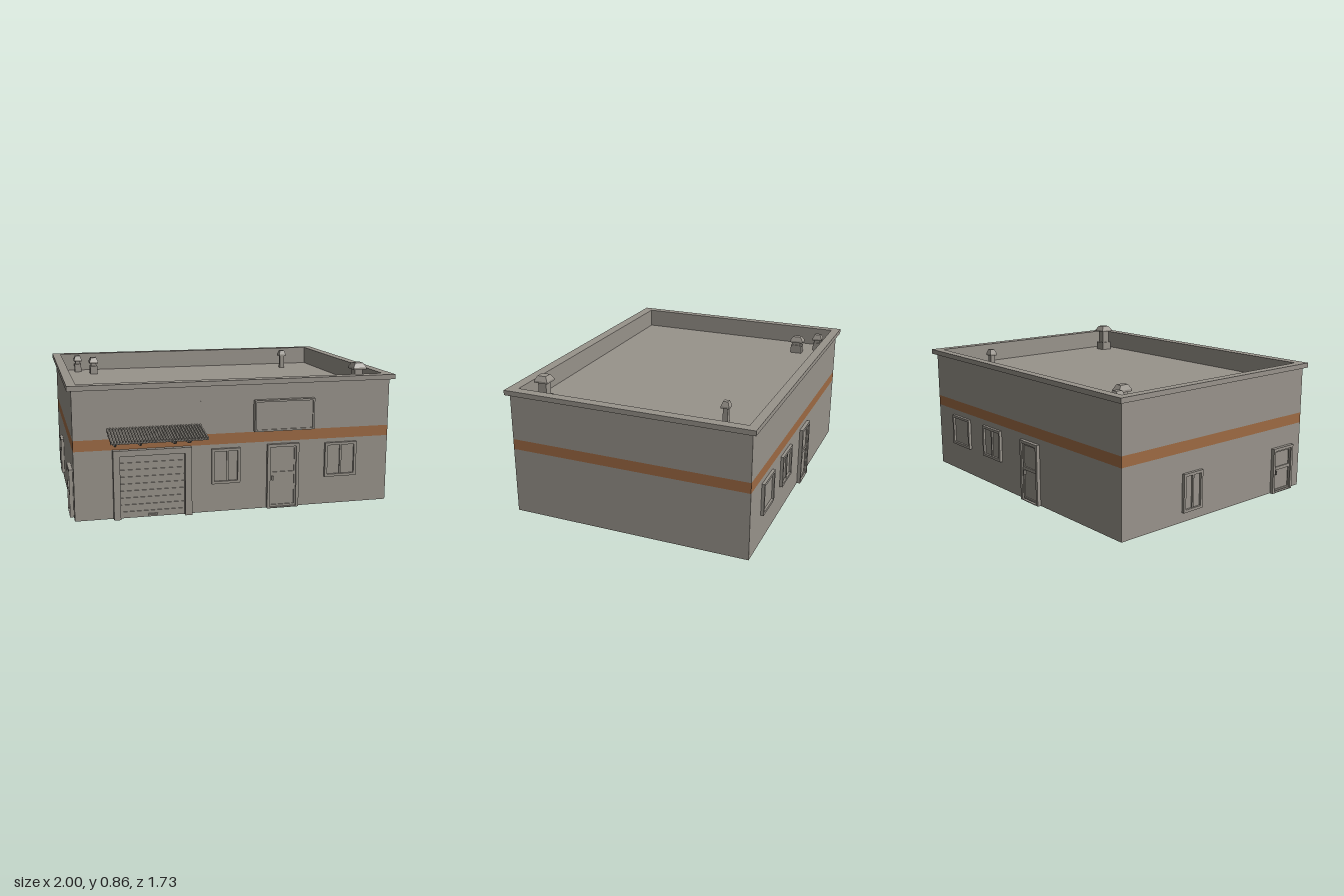
import * as THREE from 'three';

const concrete = new THREE.MeshStandardMaterial({ color: 0x98938b });
concrete.name = 'grey concrete';
const orange = new THREE.MeshStandardMaterial({ color: 0x9d6a43 });
orange.name = 'orange band';

// Outer faces of the walls
const X0 = -0.975, X1 = 0.97, Z0 = -0.84, Z1 = 0.655;

function add(parent, name, geometry, material = concrete) {
  const mesh = new THREE.Mesh(geometry, material);
  mesh.name = name;
  parent.add(mesh);
  return mesh;
}

// Box given by its two corners
function box(parent, name, x0, x1, y0, y1, z0, z1, material) {
  const g = new THREE.BoxGeometry(x1 - x0, y1 - y0, z1 - z0);
  g.translate((x0 + x1) / 2, (y0 + y1) / 2, (z0 + z1) / 2);
  return add(parent, name, g, material);
}

function rectangle(Type, x0, x1, y0, y1) {
  return new Type().moveTo(x0, y0).lineTo(x1, y0).lineTo(x1, y1).lineTo(x0, y1).closePath();
}

function rectShape(x0, x1, y0, y1) {
  const s = new THREE.Shape();
  s.setFromPoints([[x0, y0], [x1, y0], [x1, y1], [x0, y1]].map(p => new THREE.Vector2(...p)));
  return s;
}

// Flat rectangular frame: outer and inner are [x0, x1, y0, y1]
function frameGeometry(outer, inner, depth) {
  const s = rectShape(...outer);
  s.holes.push(rectShape(...inner));
  return new THREE.ExtrudeGeometry(s, { depth, bevelEnabled: false });
}

// Horizontal ring between two heights, around the sunken roof
function roofRing(parent, name, x0, x1, z0, z1, y0, y1) {
  const g = frameGeometry([x0, x1, -z1, -z0], [-0.945, 0.94, -0.61, 0.81], y1 - y0);
  g.rotateX(-Math.PI / 2).translate(0, y0, 0);
  return add(parent, name, g);
}

// Window centred on its own x = 0, facing +z
function windowUnit(name, w, y0, y1, mullion = 0) {
  const g = new THREE.Group(), h = w / 2, t = 0.016;
  g.name = name;
  add(g, 'windowFrame', frameGeometry([-h, h, y0, y1], [-h + t, h - t, y0 + t, y1 - t], 0.018));
  box(g, 'windowPane', -h + t, h - t, y0 + t, y1 - t, 0, 0.005);
  if (mullion !== null) box(g, 'mullion', mullion - 0.006, mullion + 0.006, y0 + t, y1 - t, 0, 0.014);
  return g;
}

// Door with two sunken panels and a handle
function doorUnit(name, w, top) {
  const g = new THREE.Group(), h = w / 2, t = 0.018;
  g.name = name;
  add(g, 'doorFrame', frameGeometry([-h, h, 0, top], [-h + t, h - t, 0.005, top - t], 0.022));
  box(g, 'doorLeaf', -h + t, h - t, 0.005, top - t, 0, 0.006);
  const a = h - t, mid = top * 0.54;
  for (const [y0, y1] of [[0.01, mid], [mid, top - t]]) {
    add(g, 'doorPanelFrame', frameGeometry([-a, a, y0, y1], [-a + 0.01, a - 0.01, y0 + 0.01, y1 - 0.01], 0.013));
  }
  box(g, 'doorHandle', -a + 0.012, -a + 0.02, mid - 0.04, mid - 0.015, 0, 0.02);
  return g;
}

// Square roof vent: optional plinth, shaft, flared hood
function vent(name, x, z, w, d, top, plinth) {
  const g = new THREE.Group(), y = 0.68, hood = 0.04;
  g.name = name;
  g.position.set(x, 0, z);
  if (plinth) box(g, 'ventPlinth', -w * 0.42, w * 0.42, y, y + 0.055, -d * 0.42, d * 0.42);
  box(g, 'ventShaft', -w * 0.3, w * 0.3, y, top - hood, -d * 0.3, d * 0.3);
  box(g, 'ventEaves', -w / 2, w / 2, top - hood, top - hood + 0.012, -d / 2, d / 2);
  const cap = new THREE.CylinderGeometry(0.3 * Math.SQRT2, 0.5 * Math.SQRT2, hood - 0.012, 4, 1).toNonIndexed();
  cap.rotateY(Math.PI / 4).scale(w, 1, d).translate(0, top - (hood - 0.012) / 2, 0);
  cap.computeVertexNormals();
  add(g, 'ventHood', cap);
  return g;
}

// Sectional garage door with protruding frame
function garage() {
  const g = new THREE.Group();
  g.name = 'garageDoor';
  const z = Z1;
  box(g, 'leftPost', -0.325, -0.285, 0, 0.415, z, 0.69);
  box(g, 'rightPost', -0.75, -0.71, 0, 0.415, z, 0.69);
  box(g, 'lintel', -0.71, -0.325, 0.38, 0.415, z, 0.69);
  const n = 9, step = 0.38 / n;
  box(g, 'doorBacking', -0.71, -0.325, 0, 0.38, z, z + 0.004);
  for (let i = 0; i < n; i++) {
    box(g, 'doorSlat', -0.708, -0.327, i * step + 0.002, (i + 1) * step - 0.002, z, z + 0.01);
  }
  box(g, 'garageHandle', -0.545, -0.49, 0.012, 0.022, z, z + 0.02);
  return g;
}

// Sloping ribbed canopy on curved brackets
function canopy() {
  const g = new THREE.Group();
  g.name = 'canopy';
  const roof = new THREE.Group();
  roof.name = 'canopyRoof';
  roof.position.set(-0.5025, 0.535, Z1);
  roof.rotation.x = 0.165;
  const half = 0.2775, len = 0.212, n = 34;
  box(roof, 'canopySheet', -half, half, -0.006, 0, 0, len);
  for (let i = 0; i < n; i++) {
    const x = -half + 0.004 + (i / (n - 1)) * (2 * half - 0.008);
    box(roof, 'canopyRib', x - 0.004, x + 0.004, 0, 0.011, 0, len);
  }
  for (const z of [0.06, 0.17]) box(roof, 'canopyRail', -half, half, -0.014, -0.006, z, z + 0.012);
  g.add(roof);
  for (const x of [-0.745, -0.6, -0.4, -0.315]) {
    const curve = new THREE.CatmullRomCurve3([
      [x, 0.452, Z1], [x, 0.456, 0.72], [x, 0.47, 0.79], [x, 0.502, 0.828],
    ].map(p => new THREE.Vector3(...p)));
    add(g, 'canopyBracket', new THREE.TubeGeometry(curve, 10, 0.005, 6));
    box(g, 'bracketUpright', x - 0.005, x + 0.005, 0.445, 0.535, Z1, Z1 + 0.01);
  }
  return g;
}

export function createModel() {
  const model = new THREE.Group();
  model.name = 'warehouse';

  // Walls, band and sunken roof
  box(model, 'lowerWalls', X0, X1, 0, 0.415, Z0, Z1);
  box(model, 'wallBand', X0, X1, 0.415, 0.48, Z0, Z1, orange);
  box(model, 'upperWallsAndRoof', X0, X1, 0.48, 0.68, Z0, Z1);
  roofRing(model, 'parapet', X0, X1, Z0, Z1, 0.68, 0.77);
  roofRing(model, 'parapetCap', -1, 1, -0.865, 0.675, 0.77, 0.8);

  // Openings on each wall: [unit, x, z, turn]
  const back = Math.PI, right = -Math.PI / 2;
  const openings = [
    [windowUnit('frontWindow', 0.175, 0.175, 0.39, 0.01), -0.0725, Z1, 0],
    [windowUnit('frontWindow', 0.205, 0.175, 0.39), 0.6575, Z1, 0],
    [doorUnit('frontDoor', 0.2, 0.4), 0.285, Z1, 0],
    [windowUnit('backWindow', 0.21, 0.18, 0.38, null), 0.665, Z0, back],
    [windowUnit('backWindow', 0.205, 0.18, 0.38), 0.285, Z0, back],
    [doorUnit('backDoor', 0.18, 0.38), -0.14, Z0, back],
    [windowUnit('sideWindow', 0.15, 0.06, 0.29), X0, -0.315, right],
    [doorUnit('sideDoor', 0.185, 0.29), X0, 0.478, right],
  ];
  for (const [unit, x, z, turn] of openings) {
    unit.position.set(x, 0, z);
    unit.rotation.y = turn;
    model.add(unit);
  }

  // Blank sign board with raised border
  const sign = new THREE.Group();
  sign.name = 'signBoard';
  box(sign, 'signPanel', 0.1, 0.475, 0.485, 0.675, Z1, 0.682);
  const border = add(sign, 'signBorder', frameGeometry([0.1, 0.475, 0.485, 0.675], [0.111, 0.464, 0.496, 0.664], 0.008));
  border.position.z = 0.682;
  model.add(sign);

  model.add(garage(), canopy());

  // Roof vents
  model.add(
    vent('roofVent', -0.8275, -0.7425, 0.055, 0.065, 0.795, true),
    vent('roofVent', -0.725, -0.62, 0.06, 0.09, 0.795, true),
    vent('roofVent', 0.68, -0.5875, 0.05, 0.05, 0.81, false),
    vent('roofVent', 0.8175, 0.51, 0.085, 0.09, 0.858, true),
  );
  return model;
}
